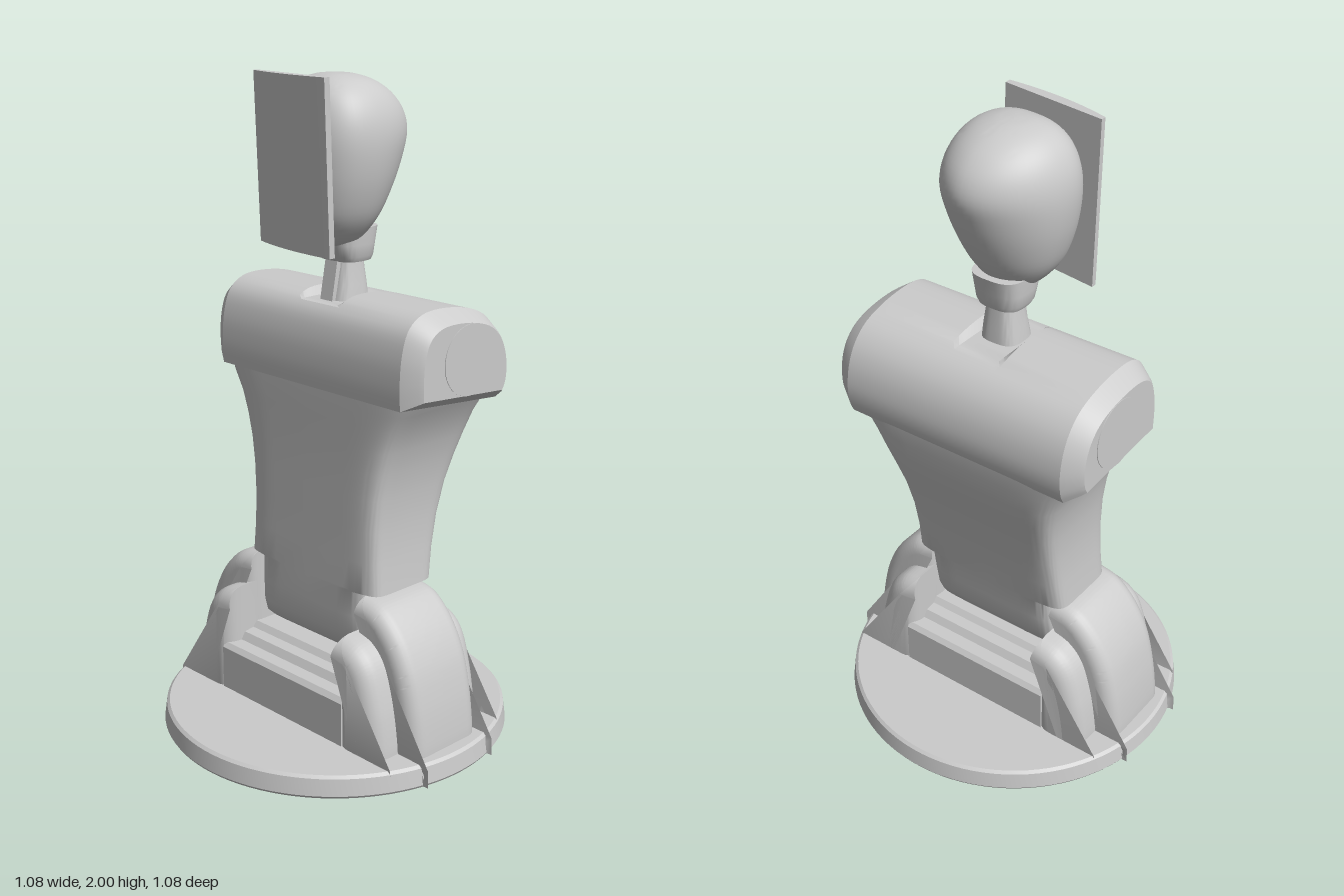
import * as THREE from 'three';
import { toCreasedNormals } from 'three/addons/utils/BufferGeometryUtils.js';

const material = new THREE.MeshStandardMaterial({ color: 0xcccccc, side: THREE.DoubleSide });

function part(parent, name, geometry, crease = 0.6) {
  const mesh = new THREE.Mesh(toCreasedNormals(geometry, crease), material);
  mesh.name = name;
  parent.add(mesh);
  return mesh;
}

// Closed surface through rings of [x, y, z] points, capped at both ends
function loft(rings) {
  const n = rings[0].length;
  const positions = rings.flat(2);
  const index = [];
  for (let i = 0; i < rings.length - 1; i++) {
    for (let j = 0; j < n; j++) {
      const k = (j + 1) % n;
      const a = i * n + j, b = i * n + k, c = a + n, d = b + n;
      index.push(a, b, d, a, d, c);
    }
  }
  [0, rings.length - 1].forEach((r, end) => {
    const centre = positions.length / 3;
    for (let axis = 0; axis < 3; axis++) {
      positions.push(rings[r].reduce((s, p) => s + p[axis], 0) / n);
    }
    for (let j = 0; j < n; j++) {
      const a = r * n + j, b = r * n + (j + 1) % n;
      if (end) index.push(centre, a, b);
      else index.push(centre, b, a);
    }
  });
  const g = new THREE.BufferGeometry();
  g.setAttribute('position', new THREE.Float32BufferAttribute(positions, 3));
  g.setIndex(index);
  return g;
}

// Horizontal superellipse ring; separate power for the front and back halves
function slice(y, hw, front, back, mid, powFront, powBack, n = 48) {
  return Array.from({ length: n }, (_, j) => {
    const a = (j / n) * Math.PI * 2;
    const c = Math.cos(a), s = -Math.sin(a);
    const e = 2 / (s > 0 ? powFront : powBack);
    const depth = s > 0 ? front - mid : mid - back;
    return [
      hw * Math.sign(c) * Math.abs(c) ** e, y,
      mid + depth * Math.sign(s) * Math.abs(s) ** e,
    ];
  });
}

// Outline extruded along z between two limits, with rounded ends
function roundedExtrude(shape, z0, z1, bevel) {
  const g = new THREE.ExtrudeGeometry(shape, {
    depth: z1 - z0 - 2 * bevel, bevelThickness: bevel, bevelSize: bevel,
    bevelOffset: -bevel, bevelSegments: 6, curveSegments: 28,
  });
  return g.translate(0, 0, z0 + bevel);
}

const vec = (list) => list.map(([x, y]) => new THREE.Vector2(x, y));

// Side lobe outline: flat inner wall and a domed outer wall
function lobeShape(inner, points) {
  const s = new THREE.Shape();
  s.moveTo(inner, 0.01);
  s.lineTo(points[0][0], 0.01);
  s.splineThru(vec(points));
  s.closePath();
  return s;
}

function buildShoulders(parent) {
  const arc = new THREE.SplineCurve(vec([
    [-0.29, 1.065], [-0.305, 1.1], [-0.31, 1.16], [-0.297, 1.23], [-0.265, 1.29],
    [-0.21, 1.335], [-0.12, 1.362], [-0.02, 1.37], [0.045, 1.358], [0.09, 1.32],
    [0.112, 1.25], [0.118, 1.17], [0.115, 1.1],
  ])).getPoints(48);
  const ring = (x, k = 1, top = 2) => arc.map((p) => [
    x,
    Math.min(top, 1.22 + (p.y - 1.22) * (k < 1 ? k - 0.07 : 1)),
    -0.1 + (p.x + 0.1) * k,
  ]);
  // Chamfered ends, with a shallow recess for the neck in the middle
  part(parent, 'shoulders', loft([
    ring(-0.435, 0.82), ring(-0.425, 0.87), ring(-0.38), ring(-0.09),
    ring(-0.07, 1, 1.345), ring(0.07, 1, 1.345), ring(0.09),
    ring(0.38), ring(0.425, 0.87), ring(0.435, 0.82),
  ]), 0.35);
  for (const side of [-1, 1]) {
    const cap = part(parent, 'shoulderCap', new THREE.CylinderGeometry(0.105, 0.105, 0.02, 40));
    cap.rotation.z = Math.PI / 2;
    cap.position.set(side * 0.427, 1.22, -0.11);
  }
}

function buildTorso(parent) {
  // y, half width, front z, back z
  const rows = [
    [0.28, 0.235, 0.04, -0.05], [0.29, 0.235, 0.075, -0.08], [0.31, 0.235, 0.098, -0.105],
    [0.35, 0.235, 0.11, -0.125], [0.42, 0.235, 0.113, -0.138], [0.5, 0.235, 0.113, -0.15],
    [0.505, 0.285, 0.113, -0.151], [0.6, 0.277, 0.112, -0.17], [0.7, 0.275, 0.112, -0.193],
    [0.8, 0.281, 0.112, -0.222], [0.88, 0.294, 0.112, -0.25], [0.95, 0.312, 0.113, -0.272],
    [1.02, 0.338, 0.114, -0.287], [1.07, 0.368, 0.115, -0.294], [1.11, 0.39, 0.115, -0.298],
  ];
  part(parent, 'torso', loft(rows.map(([y, w, f, b]) => slice(y, w, f, b, (f + b) / 2, 8, 8, 80))), 0.7);
  buildShoulders(parent);
}

function buildHips(parent) {
  const outer = lobeShape(0.24, [
    [0.49, 0.01], [0.487, 0.1], [0.47, 0.22], [0.44, 0.33], [0.39, 0.42], [0.32, 0.485], [0.24, 0.505],
  ]);
  const inner = lobeShape(0.243, [
    [0.42, 0.01], [0.415, 0.1], [0.395, 0.22], [0.36, 0.33], [0.31, 0.385], [0.243, 0.405],
  ]);
  for (const side of [1, -1]) {
    const hip = new THREE.Group();
    hip.name = side > 0 ? 'leftHip' : 'rightHip';
    hip.scale.x = side;
    part(hip, 'outerLobe', roundedExtrude(outer, -0.135, 0.145, 0.05));
    part(hip, 'innerLobe', roundedExtrude(inner, -0.23, 0.238, 0.06));
    parent.add(hip);
  }
  // Stepped cradle under the torso
  const half = [[0.235, 0.06], [0.235, 0.205], [0.222, 0.22], [0.18, 0.222], [0.165, 0.245], [0.13, 0.25], [0.115, 0.268]];
  const mirrored = half.map(([z, y]) => [-z + 0.008, y]).reverse();
  const cradle = new THREE.ExtrudeGeometry(new THREE.Shape(vec([...half, ...mirrored])), { depth: 0.54, bevelEnabled: false });
  cradle.translate(0, 0, -0.27).rotateY(-Math.PI / 2);
  part(parent, 'hipCradle', cradle);
}

function buildNeck(parent) {
  const neck = new THREE.Group();
  neck.name = 'neck';
  part(neck, 'neckColumn', loft([
    slice(1.34, 0.064, 0.025, -0.1, -0.04, 3, 3), slice(1.39, 0.058, 0.015, -0.097, -0.04, 3, 3),
    slice(1.44, 0.05, 0.005, -0.092, -0.04, 3, 3), slice(1.49, 0.046, 0, -0.09, -0.04, 3, 3),
  ]));
  const rib = part(neck, 'neckRib', new THREE.BoxGeometry(0.05, 0.13, 0.03));
  rib.position.set(0, 1.405, 0.01);
  rib.rotation.x = -0.18;
  part(neck, 'collar', loft([
    slice(1.46, 0.07, 0.015, -0.105, -0.04, 3, 3), slice(1.475, 0.078, 0.025, -0.11, -0.04, 3, 3),
    slice(1.51, 0.082, 0.04, -0.115, -0.04, 3, 3), slice(1.56, 0.085, 0.05, -0.125, -0.04, 3, 3),
  ]));
  parent.add(neck);
}

function buildHead(parent) {
  // y, half width, front z, back z
  const rows = [
    [1.503, 0.015, 0.02, -0.025], [1.512, 0.055, 0.055, -0.05], [1.54, 0.095, 0.095, -0.085],
    [1.6, 0.14, 0.128, -0.13], [1.68, 0.17, 0.145, -0.172], [1.76, 0.186, 0.152, -0.205],
    [1.83, 0.189, 0.152, -0.225], [1.89, 0.178, 0.143, -0.212], [1.94, 0.152, 0.124, -0.172],
    [1.975, 0.112, 0.092, -0.117], [1.993, 0.06, 0.05, -0.06], [1.998, 0.015, 0.015, -0.015],
  ];
  const size = new THREE.CatmullRomCurve3(rows.map(([y, w]) => new THREE.Vector3(w, y, 0)), false, 'catmullrom');
  const depth = new THREE.CatmullRomCurve3(rows.map(([, , f, b]) => new THREE.Vector3(f, b, 0)), false, 'catmullrom');
  const rings = Array.from({ length: 45 }, (_, i) => {
    const s = size.getPoint(i / 44), d = depth.getPoint(i / 44);
    return slice(s.y, s.x, d.x, d.y, 0, 2.5, 1.85, 56);
  });
  part(parent, 'head', loft(rings), 1.2).rotation.y = -0.12;

  // Face screen: flat behind, gently bowed in front, leaning with height
  const plan = new THREE.Shape();
  plan.moveTo(-0.2, -0.105);
  plan.lineTo(-0.2, -0.122);
  plan.quadraticCurveTo(-0.04, -0.178, 0.153, -0.177);
  plan.lineTo(0.153, -0.157);
  plan.closePath();
  const screen = new THREE.ExtrudeGeometry(plan, { depth: 0.495, bevelEnabled: false, curveSegments: 16 });
  screen.rotateX(-Math.PI / 2).translate(0, 1.505, 0);
  const p = screen.attributes.position;
  for (let i = 0; i < p.count; i++) p.setZ(i, p.getZ(i) + (p.getY(i) - 1.75) * 0.04);
  part(parent, 'faceScreen', screen);
}

export function createModel() {
  const model = new THREE.Group();
  model.name = 'robotBust';
  const rim = vec([[0, 0], [0.535, 0], [0.54, 0.008], [0.533, 0.06], [0.524, 0.068], [0, 0.068]]);
  part(model, 'base', new THREE.LatheGeometry(rim, 96), 0.4);
  buildHips(model);
  buildTorso(model);
  buildNeck(model);
  buildHead(model);
  return model;
}
